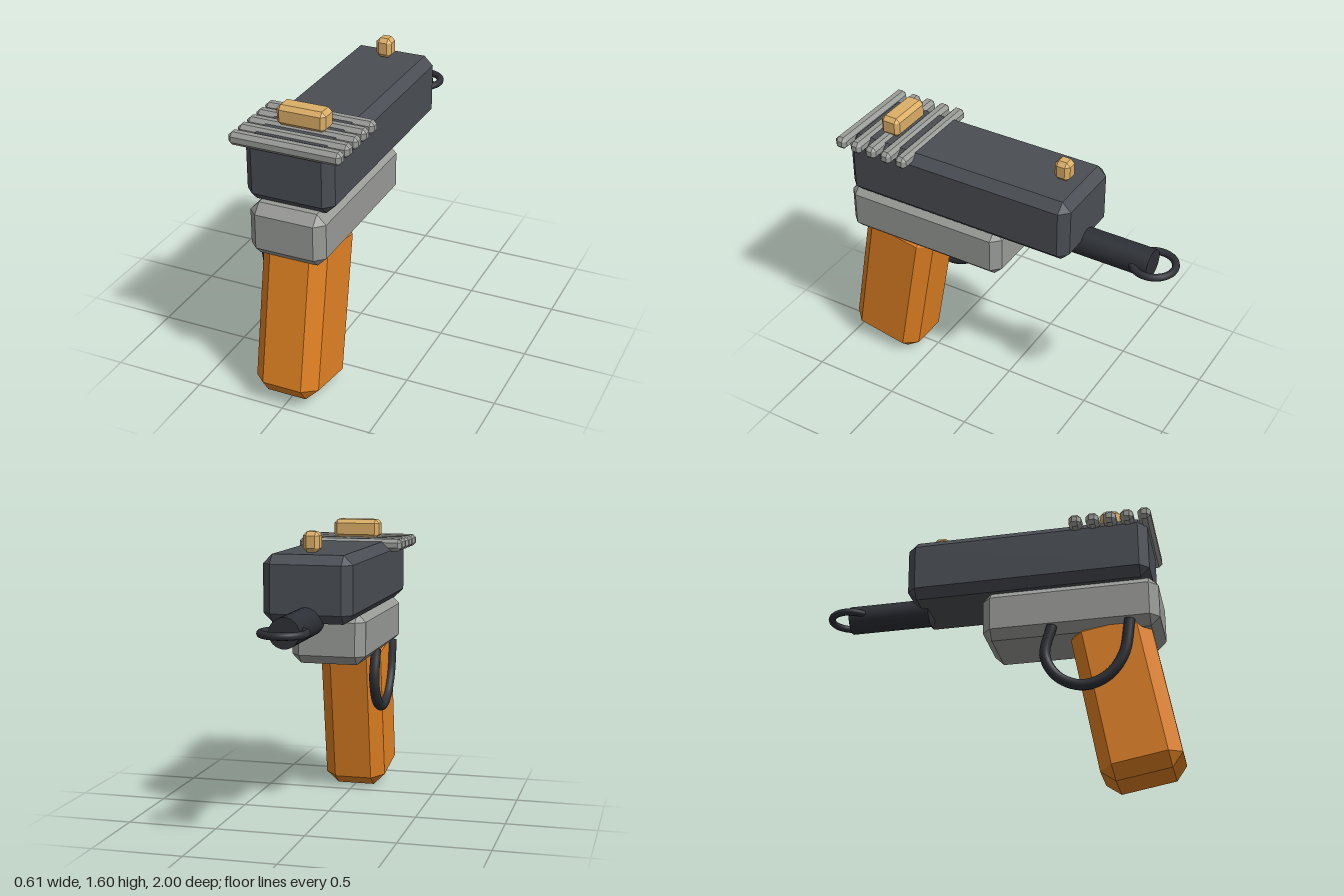
import * as THREE from 'three';
import { ConvexGeometry } from 'three/addons/geometries/ConvexGeometry.js';

const paint = (color, flatShading = false) => new THREE.MeshStandardMaterial({ color, flatShading });

// Box with every edge cut at 45 degrees; c is the cut size
function chamferBox(w, h, d, c) {
  const points = [];
  for (const sx of [-1, 1]) for (const sy of [-1, 1]) for (const sz of [-1, 1]) {
    for (let face = 0; face < 3; face++) {
      const p = [w / 2, h / 2, d / 2].map((v, axis) => (axis === face ? v : v - c));
      points.push(new THREE.Vector3(sx * p[0], sy * p[1], sz * p[2]));
    }
  }
  return new ConvexGeometry(points);
}

export function createModel() {
  const model = new THREE.Group();
  const steel = paint(0x4a4e54, true);
  const grey = paint(0x999b97, true);
  const orange = paint(0xe28223, true);
  const brass = paint(0xdcae66, true);
  const dark = paint(0x2d3036);

  const add = (name, geometry, material, x, y, z) => {
    const mesh = new THREE.Mesh(geometry, material);
    mesh.name = name;
    mesh.position.set(x, y, z);
    model.add(mesh);
    return mesh;
  };

  // Main body blocks
  add('upperBody', chamferBox(0.485, 0.36, 1.36, 0.05), steel, 0, 1.31, 0.205);
  add('lowerFrame', chamferBox(0.42, 0.29, 0.975, 0.05), grey, 0, 0.99, 0.4375);

  // Handle, leaning back towards the top
  const grip = add('grip', chamferBox(0.36, 0.92, 0.44, 0.07), orange, 0, 0.48, 0.715);
  grip.rotation.x = -THREE.MathUtils.degToRad(10);

  // Row of raised ribs across the top
  const ribGeometry = chamferBox(0.61, 0.07, 0.07, 0.02);
  for (let i = 0; i < 5; i++) add('rib' + (i + 1), ribGeometry, grey, 0, 1.47, 0.496 + i * 0.096);

  // Sights
  add('wideSight', chamferBox(0.27, 0.11, 0.115, 0.022), brass, 0, 1.55, 0.67);
  add('narrowSight', chamferBox(0.09, 0.11, 0.09, 0.022), brass, 0, 1.55, -0.33);

  // Barrel and the ring at its end
  const barrel = add('barrel', new THREE.CylinderGeometry(0.08, 0.08, 0.47, 32), dark, 0, 1.14, -0.625);
  barrel.rotation.x = Math.PI / 2;
  const ring = add('barrelRing', new THREE.TorusGeometry(0.114, 0.02, 12, 40), dark, 0, 1.142, -0.866);
  ring.rotation.x = Math.PI / 2;

  // Curved guard beside the grip, as [z, y] points
  const path = new THREE.CatmullRomCurve3(
    [[0.34, 0.885], [0.3, 0.71], [0.37, 0.58], [0.5, 0.522], [0.63, 0.56], [0.725, 0.68], [0.765, 0.88]]
      .map(([z, y]) => new THREE.Vector3(0, y, z)));
  add('guard', new THREE.TubeGeometry(path, 40, 0.03, 12), dark, -0.19, 0, 0);
  [0, 1].forEach((t) => {
    const cap = add('guardEnd', new THREE.CircleGeometry(0.03, 12), dark, -0.19, 0, 0);
    cap.position.add(path.getPointAt(t));
    cap.quaternion.setFromUnitVectors(
      new THREE.Vector3(0, 0, 1), path.getTangentAt(t).multiplyScalar(t ? 1 : -1));
  });

  return model;
}
